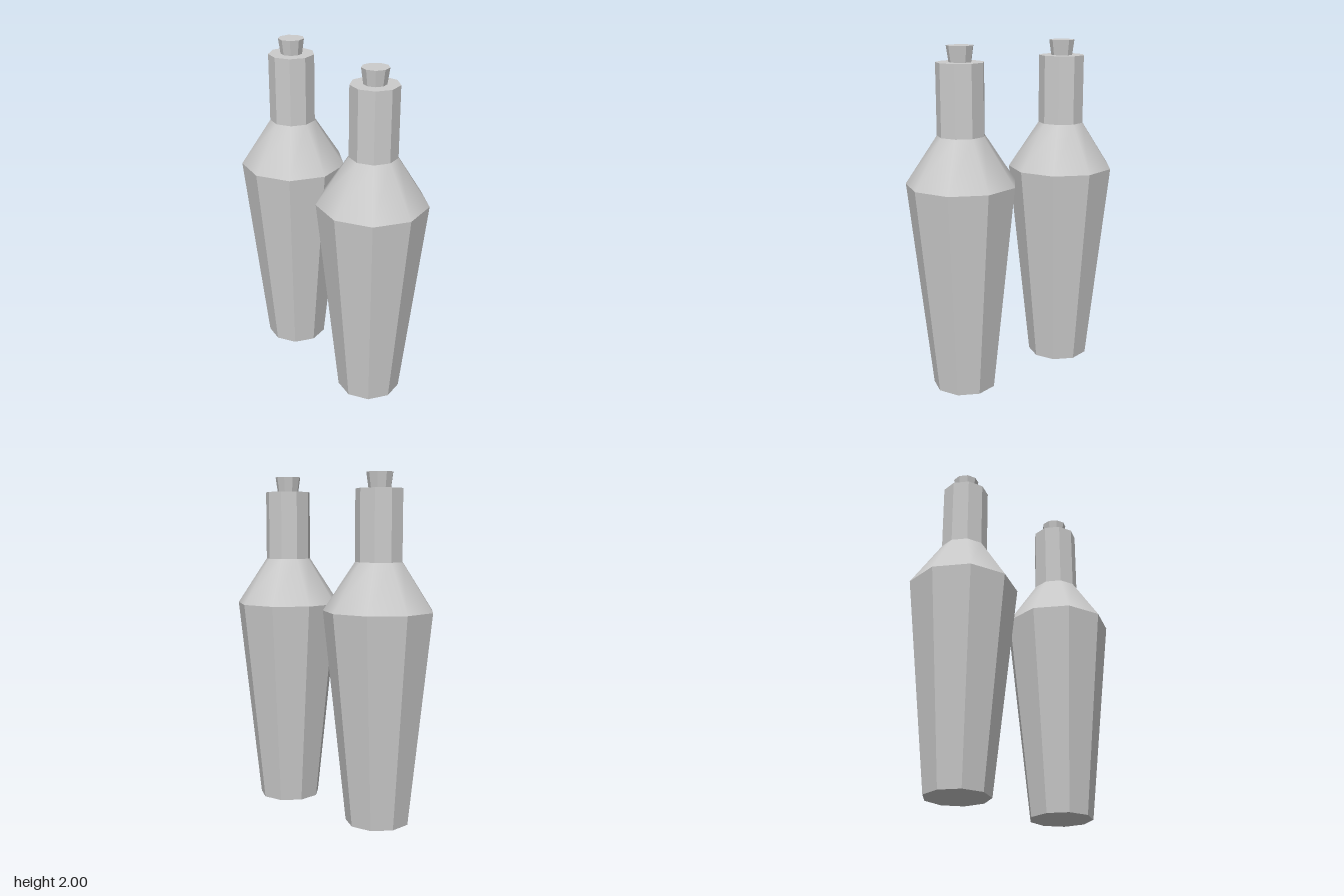
import * as THREE from 'three';

const SIDES = 9;

const flat = new THREE.MeshStandardMaterial({ color: 0xcccccc, flatShading: true });
const smooth = new THREE.MeshStandardMaterial({ color: 0xcccccc });

// Nine-sided ring section between two heights, with one corner pointing to +x
function section(name, rBottom, rTop, y0, y1, material, open = false) {
  const geometry = new THREE.CylinderGeometry(rTop, rBottom, y1 - y0, SIDES, 1, open, Math.PI / 2);
  geometry.translate(0, (y0 + y1) / 2, 0);
  const mesh = new THREE.Mesh(geometry, material);
  mesh.name = name;
  return mesh;
}

function createBottle(name, x) {
  const bottle = new THREE.Group();
  bottle.name = name;
  bottle.add(
    section('body', 0.186, 0.319, 0, 1.23, flat),
    // The shoulder is smooth-shaded, everything else is faceted
    section('shoulder', 0.319, 0.137, 1.23, 1.505, smooth, true),
    section('neck', 0.137, 0.137, 1.505, 1.91, flat),
    section('stopper', 0.064, 0.077, 1.91, 2, flat)
  );
  bottle.position.x = x;
  return bottle;
}

export function createModel() {
  const model = new THREE.Group();
  model.name = 'bottles';
  // Both bottles share one orientation, so the pair is offset to stay centred
  model.add(createBottle('rightBottle', -0.389), createBottle('leftBottle', 0.368));
  return model;
}
